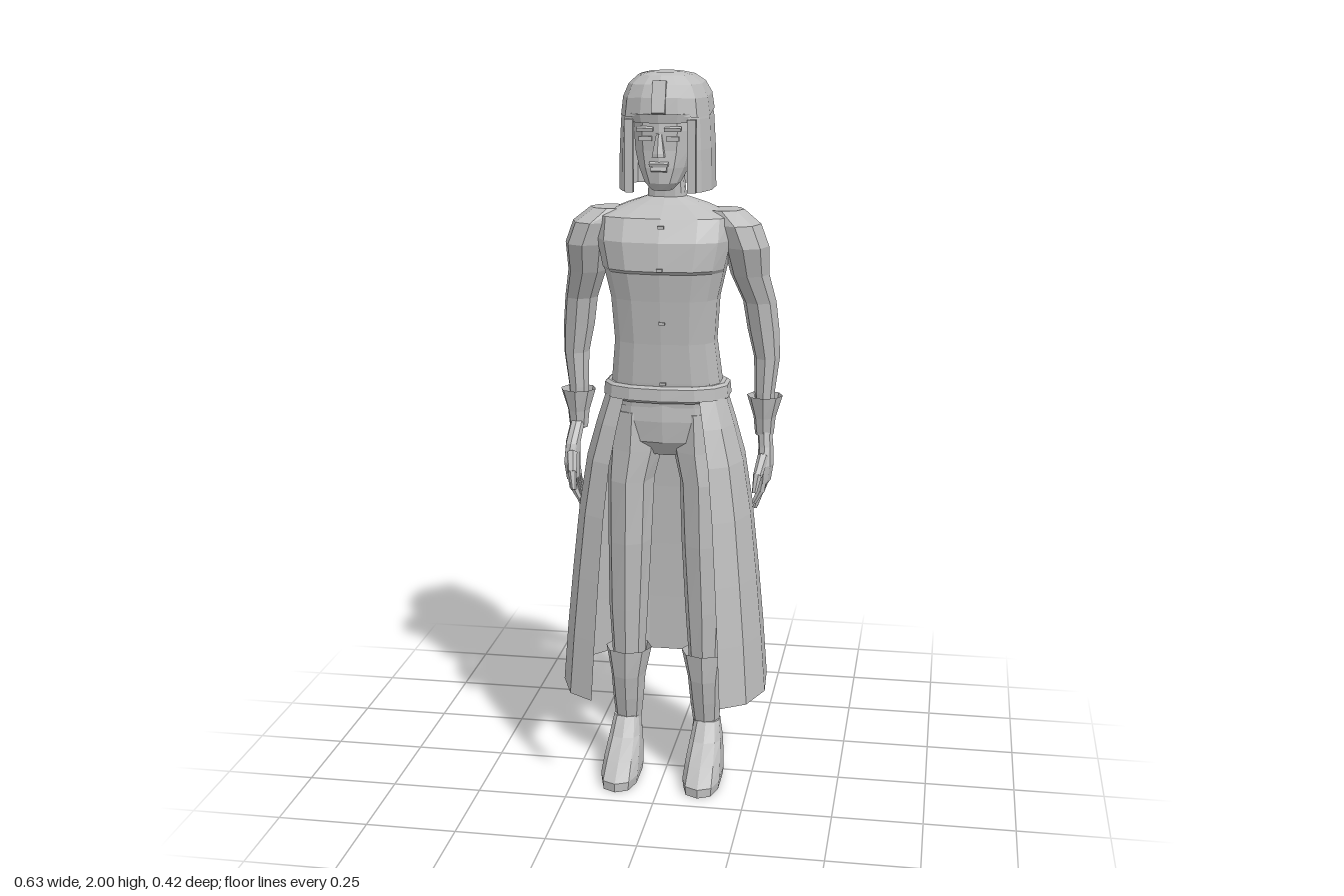
import * as THREE from 'three';

const grey = new THREE.MeshStandardMaterial({ color: 0xbebebe });
grey.name = 'grey';
grey.flatShading = true;
grey.side = THREE.DoubleSide;

// Skin a stack of point rings (bottom to top), optionally closed round and capped
function loft(rings, { closed = true, bottom = true, top = true } = {}) {
  const n = rings[0].length, pos = rings.flat(2), index = [];
  const wraps = closed ? n : n - 1;
  for (let i = 0; i < rings.length - 1; i++) {
    for (let j = 0; j < wraps; j++) {
      const a = i * n + j, b = i * n + (j + 1) % n;
      index.push(a, b, b + n, a, b + n, a + n);
    }
  }
  const cap = (r, flip) => {
    const c = pos.length / 3, base = r * n;
    for (let k = 0; k < 3; k++) pos.push(rings[r].reduce((s, p) => s + p[k], 0) / n);
    for (let j = 0; j < n; j++) {
      const a = base + j, b = base + (j + 1) % n;
      flip ? index.push(c, b, a) : index.push(c, a, b);
    }
  };
  if (closed && bottom) cap(0, true);
  if (closed && top) cap(rings.length - 1, false);
  const g = new THREE.BufferGeometry();
  g.setAttribute('position', new THREE.Float32BufferAttribute(pos, 3));
  g.setIndex(index);
  g.computeVertexNormals();
  return g;
}

// Oval ring; power below 1 makes it boxier
function oval([y, cx, cz, rx, rz], n = 8, power = 1) {
  const bend = v => Math.sign(v) * Math.abs(v) ** power;
  return Array.from({ length: n }, (_, i) => {
    const a = i / n * Math.PI * 2;
    return [cx + rx * bend(Math.sin(a)), y, cz + rz * bend(Math.cos(a))];
  });
}

// Centred ring given by half width, front z and back z
const span = ([y, rx, zf, zb], cx = 0) => [y, cx, (zf + zb) / 2, rx, (zf - zb) / 2];

// Mirror half an outline (back centre excluded) into a full one
const mirrorOutline = half => [...half, ...half.slice().reverse().map(([x, z]) => [-x, z])];

export function createModel() {
  const model = new THREE.Group();
  model.name = 'figure';
  const add = (name, geometry, parent = model) => {
    const m = new THREE.Mesh(geometry, grey);
    m.name = name;
    parent.add(m);
    return m;
  };
  const rod = (name, p, q, r0, r1, parent) => {
    const a = new THREE.Vector3(...p), b = new THREE.Vector3(...q), d = b.clone().sub(a);
    const m = add(name, new THREE.CylinderGeometry(r1, r0, d.length(), 6), parent);
    m.position.copy(a).add(b).multiplyScalar(0.5);
    m.quaternion.setFromUnitVectors(new THREE.Vector3(0, 1, 0), d.normalize());
  };
  const box = (name, size, p, tilt = 0) => {
    const m = add(name, new THREE.BoxGeometry(...size), model);
    m.position.set(...p);
    m.rotation.x = tilt;
  };

  // Torso and neck
  add('torso', loft([
    [1.10, .16, .085, -.11], [1.17, .152, .095, -.105], [1.28, .14, .105, -.08],
    [1.40, .148, .122, -.082], [1.475, .165, .135, -.095], [1.485, .168, .152, -.097],
    [1.56, .185, .146, -.1], [1.62, .185, .112, -.09], [1.65, .11, .06, -.07],
    [1.67, .052, .038, -.04], [1.76, .044, .045, -.035],
  ].map(r => oval(span(r), 14, .75))));
  [[1.60, .13], [1.49, .153], [1.34, .114], [1.17, .096]].forEach(([y, z]) =>
    box('jacketFastener', [.016, .008, .012], [.004, y, z]));

  // Hips, belt and open-fronted coat skirt
  add('hips', loft([
    [.955, .05, .04, -.06], [1.0, .13, .08, -.1], [1.06, .16, .088, -.11], [1.13, .16, .085, -.11],
  ].map(r => oval(span(r), 12, .85))));
  add('belt', loft([
    [1.115, .168, .098, -.122], [1.122, .177, .105, -.132],
    [1.155, .174, .103, -.128], [1.162, .165, .095, -.12],
  ].map(r => oval(span(r), 14, .8))));
  const hem = [[.18, .21], [.25, .165], [.29, .06], [.28, -.085], [.19, -.185], [.09, -.213]];
  add('coatSkirt', loft(
    [[.28, 1, 1], [.45, .955, .95], [.62, .9, .89], [.8, .835, .81], [.95, .755, .725], [1.05, .66, .62], [1.125, .58, .51]]
      .map(([y, sx, sz]) => mirrorOutline(hem).map(([x, z]) => [x * sx, y, z * sz - (1 - sz) * .015])),
    { closed: false }));

  for (const side of [1, -1]) {
    const label = side > 0 ? 'left' : 'right';
    const rings = (rows, n, power) => rows.map(([y, x, ...r]) => oval([y, x * side, ...r], n, power));

    // Leg, flared boot top and foot
    add(label + 'Leg', loft(rings([
      [.33, .111, .005, .046, .05], [.5, .11, .01, .056, .06], [.7, .105, .01, .062, .075],
      [.88, .102, 0, .066, .09], [.97, .09, -.01, .076, .095], [1.08, .085, -.01, .075, .09],
    ], 8)));
    add(label + 'Boot', loft(rings([
      [.1, .115, 0, .042, .036], [.15, .114, -.002, .038, .034], [.22, .113, .005, .045, .045],
      [.29, .112, .01, .05, .056], [.372, .11, .01, .066, .064],
    ], 8), { top: false }));
    add(label + 'Foot', loft([
      [0, .052, .2, -.04], [.025, .055, .2, -.042], [.065, .052, .145, -.042],
      [.11, .046, .075, -.04], [.16, .037, .034, -.036],
    ].map(r => oval(span(r, .118 * side), 10, .75))));

    // Arm with broad shoulder
    add(label + 'Arm', loft(rings([
      [1.0, .265, -.065, .022, .025], [1.12, .264, -.068, .028, .04], [1.22, .269, -.068, .036, .046],
      [1.30, .259, -.06, .044, .052], [1.38, .249, -.048, .046, .056], [1.46, .225, -.015, .053, .064],
      [1.54, .217, .01, .062, .078], [1.60, .195, .01, .062, .08], [1.637, .155, 0, .055, .055],
    ], 8)));

    // Flared cuff and hand; the right hand swings a little forward
    add(label + 'Cuff', loft(rings([
      [1.0, .265, -.065, .026, .028], [1.05, .265, -.065, .031, .037], [1.112, .265, -.064, .05, .051],
    ], 8), { bottom: false, top: false }));
    const hand = new THREE.Group();
    hand.name = label + 'Hand';
    hand.position.z = side > 0 ? 0 : .05;
    model.add(hand);
    const lag = side > 0 ? 0 : -.05;
    add('palm', loft(rings([
      [.87, .268, -.052, .018, .046], [.92, .272, -.052, .022, .05],
      [.97, .27, -.06, .021, .036], [1.03, .265, -.065 + lag, .02, .024],
    ], 8)), hand);
    [-.088, -.066, -.044, -.022].forEach((z, i) => {
      const tip = [.795, .788, .79, .81][i];
      rod('finger', [.27 * side, .9, z], [.262 * side, .845, z], .013, .012, hand);
      rod('fingertip', [.262 * side, .85, z], [.243 * side, tip, z], .012, .007, hand);
    });
    rod('thumb', [.267 * side, .945, -.025], [.257 * side, .9, .02], .016, .013, hand);
    rod('thumbTip', [.257 * side, .905, .017], [.25 * side, .855, .034], .013, .007, hand);

    // Eye, brow and hair lock beside the face
    box(label + 'Eye', [.034, .012, .012], [.036 * side, 1.832, .128]);
    box(label + 'Brow', [.044, .009, .02], [.037 * side, 1.857, .13], .2);
    box(label + 'Sidelock', [.022, .19, .02], [.083 * side, 1.785, .108]);
  }

  // Face
  add('head', loft([
    [1.695, .028, .115, .03], [1.715, .048, .13, 0], [1.755, .068, .134, -.06],
    [1.80, .08, .131, -.08], [1.85, .084, .133, -.09], [1.92, .08, .128, -.09],
  ].map(r => oval(span(r), 12, .85))));
  add('nose', loft([
    [1.785, .019, .158, .12], [1.795, .017, .157, .12], [1.845, .008, .138, .12],
  ].map(r => oval(span(r), 6))));
  box('upperLip', [.05, .009, .016], [0, 1.766, .135], .3);
  box('lowerLip', [.042, .01, .016], [0, 1.752, .134], -.3);

  // Straight bobbed hair, open at the face
  const bob = mirrorOutline([[.078, .118], [.106, .088], [.125, .03], [.125, -.06], [.1, -.112], [.04, -.126]]);
  add('hair', loft([[1.69, 1], [1.8, .985], [1.88, .95], [1.935, .88]]
    .map(([y, s]) => bob.map(([x, z]) => [x * s, y, z * s])), { closed: false }));

  // Domed cap drawn to a point behind
  const half = [[.05, 1.89, .132], [.095, 1.885, .1], [.119, 1.885, .03], [.119, 1.9, -.06], [.07, 1.918, -.118]];
  const rim = [[0, 1.89, .142], ...half, [0, 1.932, -.165], ...half.slice().reverse().map(([x, y, z]) => [-x, y, z])];
  add('cap', loft([[1, 0], [.95, .42], [.82, .72], [.6, .92], [.36, .99]].map(([k, h]) =>
    rim.map(([x, y, z]) => [x * k, y + (2 - y) * h, .035 + (z - .035) * k]))));

  // Headband with a centre crest
  add('headband', loft([[1.872, .084, .142, -.02], [1.895, .09, .147, -.02]]
    .map(r => oval(span(r), 12, .85))));
  box('crest', [.036, .085, .012], [0, 1.938, .132], -.3);
  return model;
}
